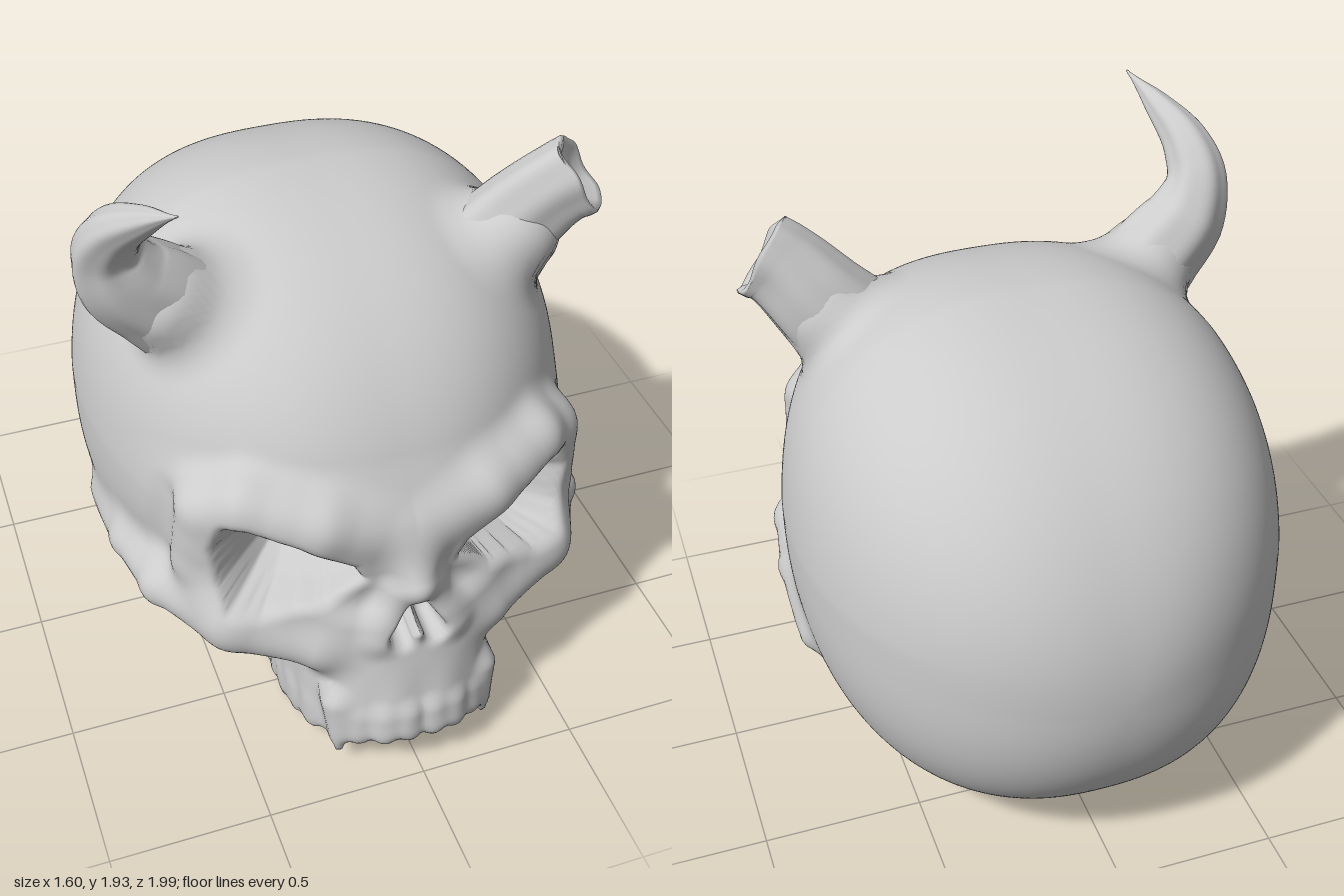
import * as THREE from 'three';

const material = new THREE.MeshStandardMaterial({ color: 0xcccccc, side: THREE.DoubleSide });
const { abs, min, max, hypot, pow, cos, sin, PI } = Math;
const clamp = (v, a = 0, b = 1) => min(b, max(a, v));

// Soft union, cut and overlap of distance fields
const join = (a, b, k) => { const h = max(k - abs(a - b), 0) / k; return min(a, b) - h * h * k / 4; };
const cut = (a, b, k) => -join(-a, b, k);
const overlap = (a, b, k) => -join(-a, -b, k);

// Distance to a rounded, tapering bone between two points [x, y, z, radius]
function bone(x, y, z, a, b) {
  const dx = b[0] - a[0], dy = b[1] - a[1], dz = b[2] - a[2];
  const px = x - a[0], py = y - a[1], pz = z - a[2];
  const t = clamp((px * dx + py * dy + pz * dz) / (dx * dx + dy * dy + dz * dz));
  return hypot(px - t * dx, py - t * dy, pz - t * dz) - a[3] - t * (b[3] - a[3]);
}
function chain(x, y, z, pts) {
  let d = 9;
  for (let i = 1; i < pts.length; i++) d = join(d, bone(x, y, z, pts[i - 1], pts[i]), 0.03);
  return d;
}
function ellipsoid(x, y, z, rx, ry, rz) {
  const k0 = hypot(x / rx, y / ry, z / rz), k1 = hypot(x / rx / rx, y / ry / ry, z / rz / rz);
  return k0 * (k0 - 1) / max(k1, 1e-6);
}
// Signed distance to a 2D outline
function outline(x, y, pts) {
  let d = 9, s = 1;
  for (let i = 0, j = pts.length - 1; i < pts.length; j = i++) {
    const [ax, ay] = pts[i], [bx, by] = pts[j];
    const ex = bx - ax, ey = by - ay, wx = x - ax, wy = y - ay;
    const t = clamp((wx * ex + wy * ey) / (ex * ex + ey * ey));
    d = min(d, hypot(wx - ex * t, wy - ey * t));
    if ((ay > y) !== (by > y) && x < ax + (y - ay) * ex / ey) s = -s;
  }
  return d * s;
}

// Eye opening, as seen from the middle of the skull so its walls slope inward
const rimZ = x => 0.85 - 0.44 * x;
const socket = [[0.15, 0.745], [0.17, 0.785], [0.3, 0.865], [0.42, 0.905], [0.48, 0.9],
  [0.51, 0.82], [0.495, 0.71], [0.46, 0.645], [0.39, 0.635], [0.24, 0.675]]
  .map(([x, y]) => [x / (rimZ(x) - 0.1), (y - 0.7) / (rimZ(x) - 0.1)]);
const brow = [[0, 0.86, 0.78, 0.06], [0.25, 0.945, 0.765, 0.07], [0.45, 0.99, 0.66, 0.07],
  [0.55, 0.93, 0.57, 0.065], [0.565, 0.7, 0.54, 0.06], [0.5, 0.57, 0.65, 0.065]];
const cheek = [[0.28, 0.47, 0.78, 0.07], [0.5, 0.515, 0.66, 0.075], [0.66, 0.52, 0.44, 0.065],
  [0.71, 0.5, 0.2, 0.05], [0.735, 0.45, -0.1, 0.015]];
// Teeth along the jaw arch
const jawFloor = z => 0.015 + 0.37 * pow(max(0, z - 0.35), 2);
const teeth = [0.04, 0.115, 0.185, 0.275, 0.297, 0.307].map(x => {
  const z = 0.45 + 0.515 * pow(1 - pow(x / 0.31, 2.6), 1 / 2.6), y = jawFloor(z);
  return [[x * 0.95, y + 0.1, z - 0.02, 0.034], [x * 0.97, y + 0.012, z - 0.005, 0.022]];
});

// The skull as one distance field, mirrored across x
function skullField(px, y, z) {
  const x = abs(px);
  // Cranium: boxy from the front, round from the side, receding below the cheeks
  const below = clamp((0.8 - y) / 0.5);
  const rz = z < -0.1 ? 0.9 : 0.91 - 0.26 * below * below * (3 - 2 * below);
  const cy = 0.8 - 0.1 * clamp((-0.1 - z) / 0.9), p = y > cy ? 2.6 : 2.4;
  const rx = 0.767 - 0.07 * max(0, y - 0.85);
  const q = pow(pow(x / rx, p) + pow(abs(y - cy) / 0.8, p), 1 / p);
  let d = (pow(pow(q, 2.1) + pow(abs(z + 0.1) / rz, 2.1), 1 / 2.1) - 1) * 0.8;
  // Horn collars
  d = join(d, bone(x, y, z, [0.46, 1.37, 0.21, 0.17], [0.53, 1.43, 0.23, 0.15]), 0.08);
  if (z > -0.35) {
    // Face mass, brow ridge, cheekbones and the hollow behind the eye
    const f = pow(pow(x / 0.61, 3) + pow(abs(y - 0.74) / 0.34, 3) + pow(abs(z - 0.35) / 0.48, 3), 1 / 3);
    d = join(d, (f - 1) * 0.42, 0.1);
    d = join(d, chain(x, y, z, brow), 0.09);
    d = join(d, chain(x, y, z, cheek), 0.11);
    d = cut(d, bone(x, y, z, [0.69, 0.9, 0.49, 0.035], [0.71, 0.68, 0.45, 0.04]), 0.08);
    // Upper jaw with faint tooth roots
    const b = z > 0.45 ? 0.545 - (y - 0.15) * 0.24 : 0.25;
    const m = pow(pow(x / 0.33, 2.6) + pow(abs(z - 0.45) / b, 2.6), 1 / 2.6);
    const root = 0.004 * cos(Math.atan2(x, z - 0.4) * 22) * clamp((0.42 - y) * 5);
    d = join(d, overlap((m - 1) * 0.36 + root, max(jawFloor(z) - y, y - 0.6), 0.04), 0.1);
    for (const [a, c] of teeth) d = join(d, bone(x, y, z, a, c), 0.035);
    // Fang at the corner of the front teeth
    d = join(d, bone(x, y, z, [0.235, 0.27, 0.85, 0.05], [0.24, 0.085, 0.885, 0.012]), 0.04);
    // Nose bridge and the sides of the nose
    d = join(d, bone(x, y, z, [0, 0.86, 0.78, 0.05], [0, 0.725, 0.89, 0.045]), 0.09);
    d = join(d, bone(x, y, z, [0.05, 0.69, 0.85, 0.03], [0.11, 0.53, 0.865, 0.03]), 0.07);
    // Eye sockets, nose opening and hollow palate
    if (z > 0.3) {
      const w = z - 0.1, depth = rimZ(x) - z;
      const wall = outline(x / w, (y - 0.7) / w, socket) * w + 0.22 * max(0, depth);
      d = cut(d, overlap(wall, (depth - 0.19) * 0.9, 0.07), 0.045);
      const s = 0.78 / w;
      const nose = bone(x * s, 0.7 + (y - 0.7) * s, 0, [0, 0.635, 0, 0.025], [0.047, 0.54, 0, 0.038]);
      d = cut(d, overlap(nose + 0.15 * max(0, 0.88 - z), 0.79 - z, 0.03), 0.025);
      d = join(d, bone(x, y, z, [0, 0.5, 0.87, 0.022], [0, 0.535, 0.9, 0.012]), 0.03);
    }
    d = cut(d, ellipsoid(x, y, z - 0.61, 0.23, 0.17, 0.28), 0.05);
  }
  return max(d, 0.005 - y);
}

// Closed skin over rows of points that run around an axis
function skin(rows) {
  const n = rows[0].length, index = [];
  for (let i = 0; i < rows.length - 1; i++) for (let j = 0; j < n; j++) {
    const a = i * n + j, b = i * n + (j + 1) % n;
    index.push(a, b, a + n, b, b + n, a + n);
  }
  const g = new THREE.BufferGeometry().setFromPoints(rows.flat());
  g.setIndex(index);
  g.computeVertexNormals();
  return g;
}

// Sphere whose vertices are drawn in to the skull field, finest at the face
function skullGeometry(around = 270, along = 230) {
  const rows = [], c = new THREE.Vector3(0, 0.7, 0.1);
  for (let i = 0; i <= along; i++) {
    const th = PI * pow(1 - i / along, 1.4), row = [];
    for (let j = 0; j < around; j++) {
      const ph = j / around * 2 * PI;
      const dir = new THREE.Vector3(sin(th) * cos(ph), sin(th) * sin(ph), cos(th));
      const at = t => skullField(dir.x * t, c.y + dir.y * t, c.z + dir.z * t);
      let t = 1.4, last = t, v = at(t);
      while (v > 0 && t > 0.1) { last = t; t -= max(0.01, v * 0.5); v = at(t); }
      let lo = t, hi = last;
      for (let k = 0; k < 10; k++) { const mid = (lo + hi) / 2; if (at(mid) > 0) hi = mid; else lo = mid; }
      row.push(dir.multiplyScalar(lo).add(c));
    }
    rows.push(row);
  }
  return skin(rows);
}

// Fluted horn along a curve of [x, y, z, radius]; a broken one ends in a pit
function hornGeometry(pts, broken) {
  const curve = new THREE.CatmullRomCurve3(pts.map(p => new THREE.Vector3(p[0], p[1], p[2])));
  const radii = new THREE.SplineCurve(pts.map((p, i) => new THREE.Vector2(i, p[3])));
  const steps = 36, sides = 48, rows = [];
  const { normals, binormals, tangents } = curve.computeFrenetFrames(steps);
  const ring = (i, scale, push) => {
    const u = i / steps, p = curve.getPoint(u), r = max(0.002, radii.getPoint(u).y) * scale;
    rows.push(Array.from({ length: sides }, (_, j) => {
      const a = j / sides * 2 * PI;
      const k = r * (1 + 0.03 * cos(7 * a) + 0.03 * cos(3 * a + 1));
      const o = normals[i].clone().multiplyScalar(k * cos(a)).addScaledVector(binormals[i], k * sin(a));
      o.z *= broken ? 0.75 : 0.85;
      const chip = broken && i === steps ? 0.006 * sin(3 * a) + 0.004 * cos(5 * a) : 0;
      return o.add(p).addScaledVector(tangents[i], push + chip * scale);
    }));
  };
  for (let i = 0; i <= steps; i++) ring(i, 1, 0);
  if (broken) for (const [s, p] of [[0.95, 0.008], [0.8, 0], [0.65, -0.02], [0.4, -0.03], [0, -0.03]]) ring(steps, s, p);
  else ring(steps, 0, 0);
  return skin(rows);
}

export function createModel() {
  const group = new THREE.Group();
  const add = (name, geometry) => {
    const mesh = new THREE.Mesh(geometry, material);
    mesh.name = name;
    group.add(mesh);
  };
  add('skull', skullGeometry());
  add('rightHorn', hornGeometry([[-0.46, 1.35, 0.21, 0.17], [-0.56, 1.45, 0.23, 0.155],
    [-0.66, 1.55, 0.25, 0.135], [-0.705, 1.67, 0.28, 0.1], [-0.69, 1.77, 0.35, 0.075],
    [-0.635, 1.86, 0.46, 0.042], [-0.575, 1.935, 0.58, 0.003]], false));
  add('brokenLeftHorn', hornGeometry([[0.47, 1.37, 0.21, 0.175], [0.56, 1.48, 0.23, 0.155],
    [0.65, 1.585, 0.27, 0.138], [0.71, 1.625, 0.29, 0.138]], true));
  return group;
}
